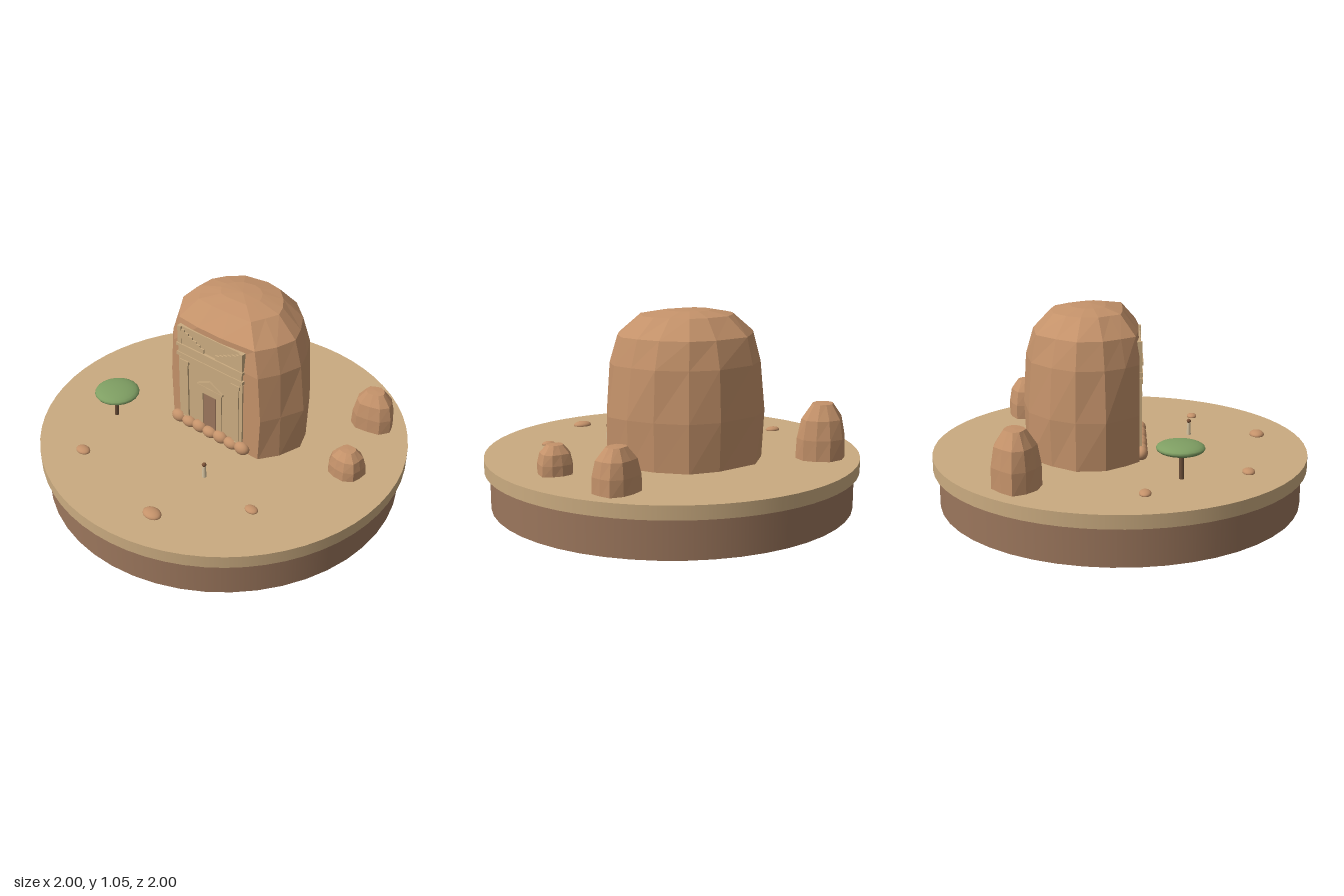
import * as THREE from 'three';

const mat = (name, color, extra = {}) => {
  const m = new THREE.MeshStandardMaterial({ color, ...extra });
  m.name = name;
  return m;
};

export function createModel() {
  const root = new THREE.Group();
  root.name = 'desertTombDiorama';
  const sand = mat('sand', 0xcaab80);
  const rock = mat('sandstone', 0xc4926a, { flatShading: true });
  const stone = mat('smoothSandstone', 0xc4926a);
  const earth = mat('earth', 0x9b765c);
  const leaf = mat('leaf', 0x7f9f63);
  const bark = mat('bark', 0x6b4e38);
  const cloth = mat('cloth', 0xd6c3a0);
  const skin = mat('skin', 0x7a5238);

  const add = (parent, name, geo, m, x = 0, y = 0, z = 0) => {
    const mesh = new THREE.Mesh(geo, m);
    mesh.name = name;
    mesh.position.set(x, y, z);
    parent.add(mesh);
    return mesh;
  };
  const ellipsoid = (parent, name, m, x, y, z, rx, ry, rz, turn = 0) => {
    const e = add(parent, name, new THREE.SphereGeometry(1, 20, 12), m, x, y, z);
    e.scale.set(rx, ry, rz);
    e.rotation.y = turn;
    return e;
  };

  // Skin stacked rings of [x, y, z] points and close the top
  const loft = (rings, top) => {
    const pos = [], n = rings[0].length;
    for (let r = 0; r < rings.length; r++) {
      for (let i = 0; i < n; i++) {
        const j = (i + 1) % n, a = rings[r][i], b = rings[r][j];
        if (r === rings.length - 1) pos.push(...top, ...b, ...a);
        else {
          const c = rings[r + 1][i], d = rings[r + 1][j];
          pos.push(...a, ...c, ...b, ...b, ...c, ...d);
        }
      }
    }
    const g = new THREE.BufferGeometry();
    g.setAttribute('position', new THREE.Float32BufferAttribute(pos, 3));
    g.computeVertexNormals();
    return g;
  };

  // Round base
  add(root, 'earthBase', new THREE.CylinderGeometry(0.97, 0.97, 0.2, 48), earth, 0, 0.1, 0);
  add(root, 'sandTop', new THREE.CylinderGeometry(1, 1, 0.07, 64), sand, 0, 0.235, 0);

  // Main rock: a tapering outline, cut flat where the facade is carved
  const TURN = -0.222, FACE = 0.1;
  const nx = Math.sin(TURN), nz = Math.cos(TURN);
  const outline = [
    [0.45, -0.03], [0.38, 0.09], [0.29, 0.2], [0.05, 0.16], [-0.14, 0.12], [-0.3, 0.06],
    [-0.35, -0.04], [-0.4, -0.16], [-0.375, -0.31], [-0.27, -0.42], [-0.12, -0.51],
    [0.12, -0.5], [0.27, -0.43], [0.38, -0.29], [0.43, -0.15],
  ];
  const levels = [[0.26, 0.98], [0.52, 0.995], [0.78, 0.94], [0.92, 0.84], [1.02, 0.57], [1.043, 0.28]];
  const rings = levels.map(([y, s], k) => outline.map(([px, pz], i) => {
    const wobble = 1 + 0.012 * Math.sin(i * 2.7 + k * 1.9);
    let x = 0.02 + (px - 0.02) * s * wobble, z = -0.16 + (pz + 0.16) * s * wobble;
    const over = Math.max(0, x * nx + z * nz - FACE);
    x -= over * nx;
    z -= over * nz;
    return [x, y, z];
  }));
  add(root, 'mainRock', loft(rings, [0.03, 1.05, -0.15]), rock);

  // Smaller outcrops: x, z, radius x, radius z, top
  const outcrops = [
    [-0.495, -0.625, 0.15, 0.125, 0.555],
    [0.708, -0.413, 0.125, 0.102, 0.485],
    [0.736, 0.037, 0.1, 0.088, 0.415],
  ];
  outcrops.forEach(([cx, cz, rx, rz, top], k) => {
    const h = top - 0.26;
    const levels = [[0, 0.96], [0.4, 0.94], [0.74, 0.8], [1, 0.42]];
    const small = levels.map(([t, s], r) => Array.from({ length: 11 }, (_, i) => {
      const a = (i / 11) * Math.PI * 2 + k;
      const q = s * (1 + 0.07 * Math.sin(i * 2.4 + k * 2 + r * 0.3));
      return [cx + Math.cos(a) * rx * q, 0.26 + t * h, cz + Math.sin(a) * rz * q];
    }));
    add(root, 'outcrop', loft(small, [cx, top + 0.002, cz]), rock);
  });

  // Carved facade, local z = 0 on the flat rock face
  const facade = new THREE.Group();
  facade.name = 'facade';
  facade.position.set(-0.025, 0, 0.097);
  facade.rotation.y = TURN;
  root.add(facade);
  const block = (name, x, y0, y1, w, front, m = sand, back = -0.03) =>
    add(facade, name, new THREE.BoxGeometry(w, y1 - y0, front - back), m, x, (y0 + y1) / 2, (front + back) / 2);

  block('backWall', 0, 0.26, 0.89, 0.43, 0.005);
  block('plinth', 0, 0.26, 0.31, 0.45, 0.016);
  block('lintel', 0, 0.685, 0.71, 0.41, 0.012);
  block('lowerCornice', 0, 0.71, 0.73, 0.45, 0.018);
  block('frieze', 0, 0.73, 0.77, 0.43, 0.013);
  block('upperCornice', 0, 0.77, 0.787, 0.45, 0.02);
  for (const s of [-1, 1]) {
    block('edgePilaster', s * 0.208, 0.3, 0.7, 0.022, 0.009);
    block('pilaster', s * 0.175, 0.3, 0.67, 0.044, 0.014);
    block('capital', s * 0.175, 0.667, 0.69, 0.058, 0.018);
    block('pilasterFoot', s * 0.175, 0.3, 0.325, 0.056, 0.018);
    // Crow steps climbing from the middle to the corners
    for (let i = 0; i < 6; i++) {
      block('crowStep', s * (0.052 + i * 0.027), 0.785, 0.812 + i * 0.0125, 0.0275, 0.012);
    }
    block('cornerStep', s * 0.207, 0.785, 0.89, 0.025, 0.014);
    block('doorJamb', s * 0.065, 0.3, 0.57, 0.03, 0.012);
  }

  // Doorway with a small gable
  block('doorHead', 0, 0.535, 0.572, 0.16, 0.012);
  block('doorCornice', 0, 0.572, 0.584, 0.18, 0.018);
  block('door', -0.012, 0.3, 0.535, 0.096, 0.007, earth);
  const gable = new THREE.Shape([[-0.09, 0.584], [0.09, 0.584], [0, 0.628]].map((p) => new THREE.Vector2(...p)));
  add(facade, 'gable', new THREE.ExtrudeGeometry(gable, { depth: 0.03, bevelEnabled: false }), sand, 0, 0, -0.014);

  // Row of boulders at the foot of the facade
  for (let i = 0; i < 7; i++) {
    const r = 0.036 - 0.004 * (i % 2);
    ellipsoid(facade, 'footBoulder', stone, -0.224 + i * 0.0745, 0.266 + r, 0.012, 0.046, r, 0.034);
  }

  // Loose stones
  [[-0.745, -0.045, 0.043, 0.03], [-0.566, 0.533, 0.043, 0.032], [0.435, 0.533, 0.037, 0.028],
    [0.015, 0.787, 0.053, 0.04]].forEach(([x, z, rx, rz]) =>
    ellipsoid(root, 'looseStone', stone, x, 0.274, z, rx, rz * 0.55, rz, -0.25));

  // Flat-crowned tree
  const trunkPath = new THREE.LineCurve3(new THREE.Vector3(-0.582, 0.26, 0.18), new THREE.Vector3(-0.57, 0.42, 0.18));
  add(root, 'treeTrunk', new THREE.TubeGeometry(trunkPath, 1, 0.012, 8), bark);
  ellipsoid(root, 'treeCrown', leaf, -0.57, 0.427, 0.176, 0.122, 0.033, 0.122);

  // Standing figure
  add(root, 'figureBody', new THREE.CylinderGeometry(0.009, 0.013, 0.07, 10), cloth, 0.106, 0.303, 0.418);
  add(root, 'figureHead', new THREE.SphereGeometry(0.012, 12, 8), skin, 0.106, 0.348, 0.418);

  return root;
}
